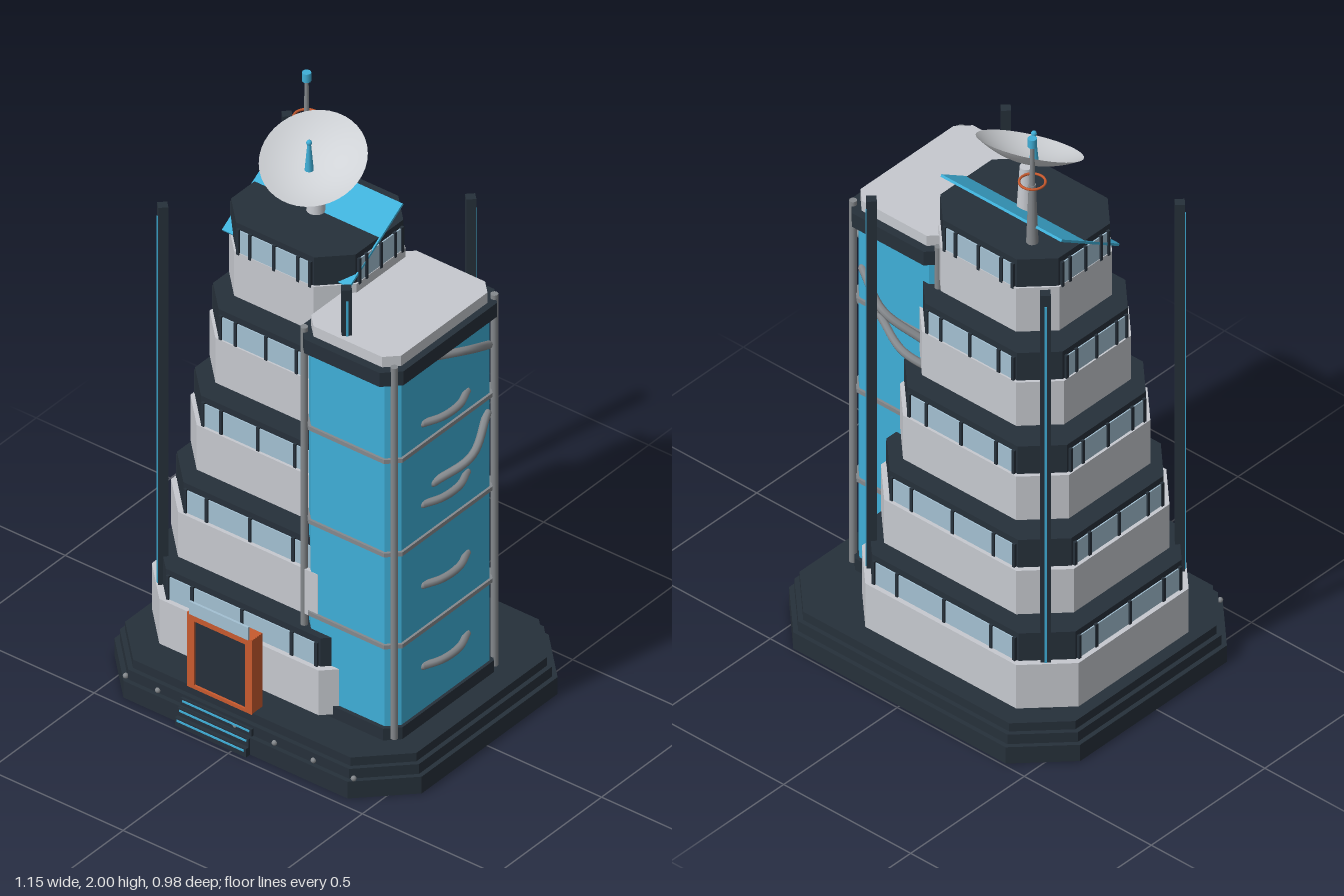
import * as THREE from 'three';

const mat = (name, color, side = THREE.FrontSide) => {
  const m = new THREE.MeshStandardMaterial({ color, side });
  m.name = name;
  return m;
};

export function createModel() {
  const dark = mat('dark slate', 0x26303a);
  const pale = mat('pale concrete', 0xc6c9cf);
  const cyan = mat('cyan panel', 0x3fafd8);
  const glass = mat('window glass', 0xa3c0d2);
  const steel = mat('steel pipe', 0x85898d);
  const orange = mat('orange trim', 0xc85a2e);
  const dishPale = mat('dish shell', 0xcfd2d6, THREE.DoubleSide);

  const model = new THREE.Group();
  const add = (name, geo, material, x = 0, y = 0, z = 0, parent = model) => {
    const mesh = new THREE.Mesh(geo, material);
    mesh.name = name;
    mesh.position.set(x, y, z);
    parent.add(mesh);
    return mesh;
  };
  const box = (name, material, w, h, d, x, y, z, parent) =>
    add(name, new THREE.BoxGeometry(w, h, d), material, x, y, z, parent);

  // Rectangle with cut corners, as corner points
  const octagon = (hx, hz, c) => [
    [hx - c, -hz], [hx, -hz + c], [hx, hz - c], [hx - c, hz],
    [-hx + c, hz], [-hx, hz - c], [-hx, -hz + c], [-hx + c, -hz],
  ].map(([x, y]) => new THREE.Vector2(x, y));

  // Upright prism of that outline, optionally hollowed to a ring
  const prism = (hx, hz, c, h, wall = 0) => {
    const shape = new THREE.Shape(octagon(hx, hz, c));
    if (wall) shape.holes.push(new THREE.Path(octagon(hx - wall, hz - wall, c - wall * 0.58)));
    const geo = new THREE.ExtrudeGeometry(shape, { depth: h, bevelEnabled: false });
    return geo.rotateX(-Math.PI / 2);
  };
  const tube = (name, points, r, material = steel) => {
    const curve = new THREE.CatmullRomCurve3(points.map((p) => new THREE.Vector3(...p)));
    const mesh = add(name, new THREE.TubeGeometry(curve, 16, r, 8), material);
    for (const p of [points[0], points[points.length - 1]]) {
      add(name + 'End', new THREE.SphereGeometry(r, 8, 6), material, ...p);
    }
    return mesh;
  };

  // Stepped plinth
  [[0, 0, 0.06], [0.015, 0.06, 0.035], [0.03, 0.095, 0.03]].forEach(([inset, y, h]) =>
    add('plinth', prism(0.573 - inset, 0.478 - inset, 0.155 - inset * 0.58, h), dark, 0, y, -0.0125));

  // Entrance steps with lit edges
  [[0.03, 0.485], [0.058, 0.472], [0.085, 0.458]].forEach(([top, z]) => {
    box('entranceStep', dark, 0.265, top, 0.1, -0.078, top / 2, z - 0.05);
    box('stepLight', cyan, 0.25, 0.006, 0.004, -0.078, top - 0.008, z + 0.001);
  });
  for (const x of [-0.42, -0.3, -0.01, 0.135, 0.28, 0.43]) {
    add('plinthLight', new THREE.SphereGeometry(0.009, 8, 6), steel, x, 0.07, 0.452);
  }

  // Five set-back storeys
  const cx = -0.087, cz = -0.034;
  for (let i = 0; i < 5; i++) {
    const storey = new THREE.Group();
    storey.name = 'storey' + (i + 1);
    storey.position.set(cx, 0.138 + i * 0.305, cz);
    model.add(storey);
    const hx = 0.427 - i * 0.0472, hz = 0.372 - i * 0.0415, c = 0.13 - i * 0.01;
    const inset = 0.02 - i * 0.0035;
    const bx = hx - inset, bz = hz - inset, bc = c - inset * 0.58;
    add('parapet', prism(hx, hz, c, 0.16, inset), pale, 0, 0, 0, storey);
    add('storeyCore', prism(bx, bz, bc, 0.26), dark, 0, 0.001, 0, storey);
    // Windows and mullions on all four sides
    for (let s = 0; s < 4; s++) {
      const side = new THREE.Group();
      side.name = 'windowBand';
      side.rotation.y = s * Math.PI / 2;
      storey.add(side);
      const half = (s % 2 ? bz : bx) - bc - 0.012;
      const out = s % 2 ? bx : bz;
      box('window', glass, half * 2, 0.08, 0.006, 0, 0.199, out + 0.001, side);
      for (const k of [-1, -0.67, 0, 0.67, 1]) {
        box('mullion', dark, 0.01, 0.09, 0.014, k * half, 0.199, out + 0.002, side);
      }
    }
  }

  // Corner poles with a light strip on the outward face
  for (const x of [-0.43, 0.255]) for (const z of [-0.328, 0.263]) {
    const pole = new THREE.Group();
    pole.name = 'cornerPole';
    pole.position.set(x, 0.885, z);
    pole.rotation.y = Math.atan2(Math.sign(x), Math.sign(z));
    model.add(pole);
    box('poleShaft', dark, 0.03, 1.53, 0.03, 0, 0, 0, pole);
    box('poleLight', cyan, 0.007, 1.45, 0.004, 0, 0, 0.0155, pole);
  }

  // Side tower
  const tx = 0.285, tz = 0.05;
  add('towerBody', prism(0.172, 0.245, 0.035, 1.3), cyan, tx, 0.12, tz);
  add('towerFoot', prism(0.182, 0.258, 0.04, 0.045), dark, tx, 0.122, tz);
  add('towerCrown', prism(0.19, 0.273, 0.05, 0.05), dark, tx, 1.4, tz);
  add('towerRoof', prism(0.168, 0.245, 0.04, 0.037), pale, tx, 1.45, tz);
  for (const y of [0.455, 0.785, 1.12]) {
    add('towerBand', prism(0.18, 0.253, 0.039, 0.014), steel, tx, y - 0.007, tz);
  }
  for (const sx of [-1, 1]) for (const sz of [-1, 1]) {
    add('towerPipe', new THREE.CylinderGeometry(0.012, 0.012, 1.33, 10), steel,
      tx + sx * 0.168, 0.8, tz + sz * 0.238);
  }

  // Bent pipes on the tower's outer and rear walls
  for (const y of [0.32, 0.61, 0.9, 1.19]) {
    tube('shortPipe', [[0.455, y, 0.155], [0.48, y, 0.09], [0.48, y, 0.01], [0.455, y, -0.055]], 0.012);
  }
  tube('slantedPipe', [[0.455, 1.395, 0.09], [0.487, 1.37, -0.02], [0.465, 1.31, -0.145]], 0.013);
  tube('slantedPipe', [[0.455, 0.95, 0.105], [0.5, 0.995, -0.02], [0.46, 1.063, -0.145]], 0.013);
  tube('rearPipe', [[0.41, 1.24, -0.195], [0.28, 1.18, -0.25], [0.15, 1.1, -0.2]], 0.013);
  tube('rearPipe', [[0.34, 1.1, -0.195], [0.2, 1.07, -0.25], [0.085, 1.03, -0.22]], 0.013);

  // Doorway
  const dx = -0.08;
  for (const s of [-1, 1]) box('doorPost', orange, 0.026, 0.265, 0.05, dx + s * 0.108, 0.255, 0.415);
  box('doorLintel', orange, 0.24, 0.024, 0.05, dx, 0.376, 0.415);
  box('doorSill', orange, 0.24, 0.012, 0.05, dx, 0.128, 0.415);
  box('door', dark, 0.2, 0.25, 0.036, dx, 0.25, 0.415);
  box('doorCanopy', glass, 0.22, 0.045, 0.008, dx, 0.41, 0.441);

  // Tilted rooftop panel
  box('roofPanel', cyan, 0.475, 0.008, 0.3, cx, 1.602, -0.0125).rotation.x = 0.56;

  // Dish on its pedestal
  add('dishPedestal', new THREE.CylinderGeometry(0.02, 0.03, 0.17, 16), pale, -0.088, 1.69, -0.03);
  const dish = new THREE.Group();
  dish.name = 'dish';
  dish.position.set(-0.075, 1.825, 0);
  dish.quaternion.setFromUnitVectors(new THREE.Vector3(0, 1, 0),
    new THREE.Vector3(0.13, 1, 0.5).normalize());
  model.add(dish);
  const profile = [];
  for (let i = 0; i <= 10; i++) {
    const r = i / 10;
    profile.push(new THREE.Vector2(r * 0.163, 0.05 * (r * r - 1)));
  }
  add('dishBowl', new THREE.LatheGeometry(profile, 40), dishPale, 0, 0, 0, dish);
  add('dishFeed', new THREE.CylinderGeometry(0.005, 0.014, 0.1, 10), cyan, -0.088, 1.83, 0.003);
  add('feedTip', new THREE.SphereGeometry(0.009, 10, 8), cyan, -0.088, 1.877, 0.003);

  // Antenna mast with ring and beacon
  const ax = -0.208, az = -0.138;
  add('mastBase', new THREE.CylinderGeometry(0.011, 0.019, 0.22, 12), steel, ax, 1.72, az);
  add('mastRod', new THREE.CylinderGeometry(0.006, 0.009, 0.16, 10), steel, ax, 1.9, az);
  add('mastBeacon', new THREE.CylinderGeometry(0.014, 0.014, 0.03, 12), cyan, ax, 1.985, az);
  add('mastRing', new THREE.TorusGeometry(0.039, 0.004, 8, 28), orange, ax, 1.84, az)
    .rotation.x = Math.PI / 2;

  return model;
}
